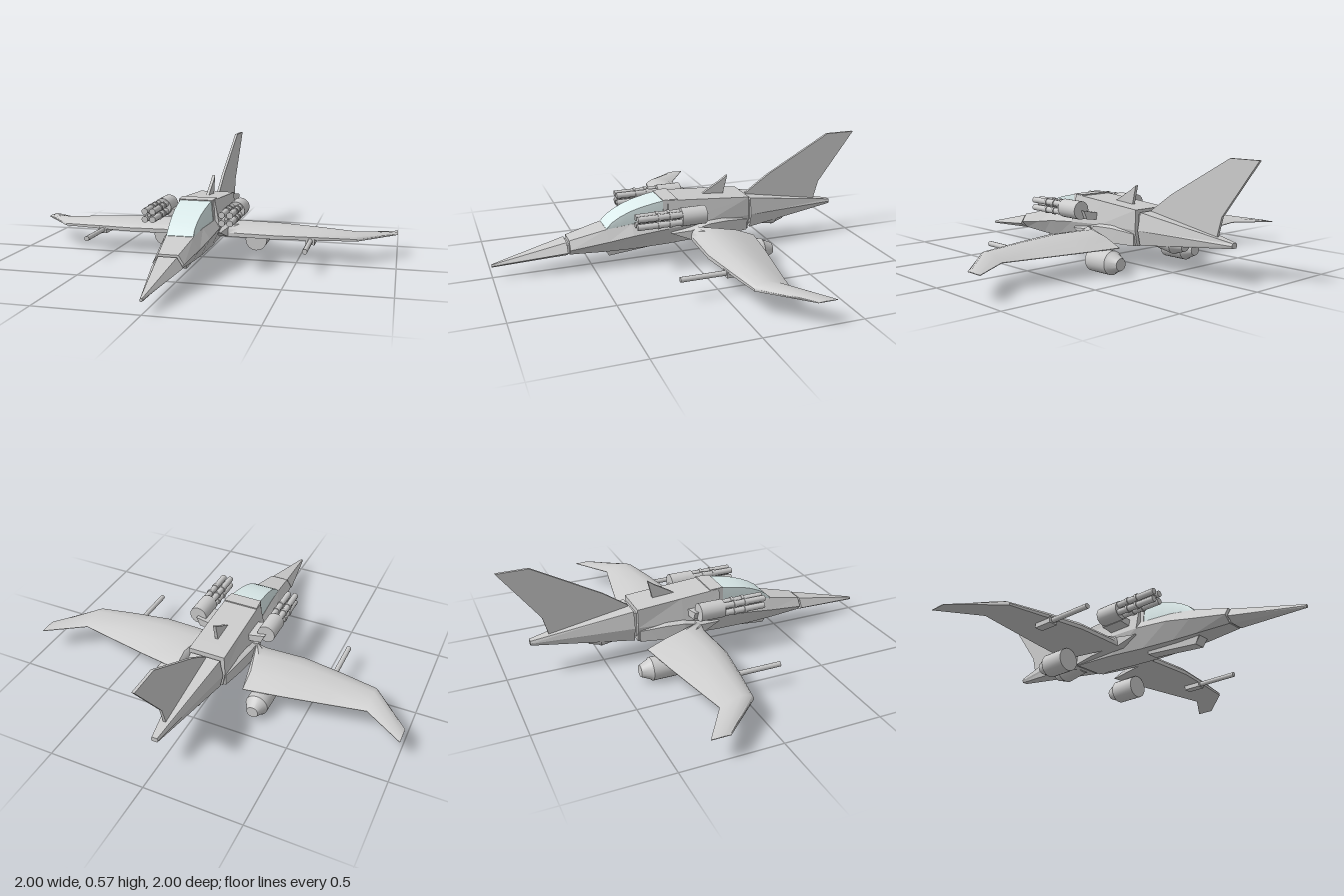
import * as THREE from 'three';
import { toCreasedNormals } from 'three/addons/utils/BufferGeometryUtils.js';

const grey = new THREE.MeshStandardMaterial({ color: 0xcccccc });
const glass = new THREE.MeshStandardMaterial({ color: 0xdcecec });

// Skin a list of equal-length rings of [x, y, z], cap both ends, faces outward
function loft(rings, crease = 0.3) {
  const tris = [];
  const n = rings[0].length;
  for (let i = 0; i < rings.length - 1; i++) {
    for (let j = 0; j < n; j++) {
      const k = (j + 1) % n;
      const a = rings[i][j], b = rings[i][k], c = rings[i + 1][k], d = rings[i + 1][j];
      tris.push([a, b, c], [a, c, d]);
    }
  }
  const cap = (ring, flip) => {
    const mid = [0, 1, 2].map(q => ring.reduce((s, p) => s + p[q], 0) / n);
    ring.forEach((p, j) => {
      const r = ring[(j + 1) % n];
      tris.push(flip ? [mid, r, p] : [mid, p, r]);
    });
  };
  cap(rings[0], true);
  cap(rings[rings.length - 1], false);
  // A negative signed volume means the faces point inward
  const vol = tris.reduce((s, [a, b, c]) => s
    + a[0] * (b[1] * c[2] - b[2] * c[1])
    + a[1] * (b[2] * c[0] - b[0] * c[2])
    + a[2] * (b[0] * c[1] - b[1] * c[0]), 0);
  if (vol < 0) tris.forEach(t => t.reverse());
  const geo = new THREE.BufferGeometry();
  geo.setAttribute('position', new THREE.Float32BufferAttribute(tris.flat(2), 3));
  return toCreasedNormals(geo, crease);
}

// Mirrored cross-section at z from [halfWidth, y] points, bottom to top
const section = (z, ...half) => [
  ...half.map(([x, y]) => [x, y, z]),
  ...half.slice().reverse().map(([x, y]) => [-x, y, z]),
];

// Thin upright plate on the centre line from a [z, y] outline
function plate(points, thickness) {
  const shape = new THREE.Shape(points.map(p => new THREE.Vector2(...p)));
  return new THREE.ExtrudeGeometry(shape, { depth: thickness, bevelEnabled: false })
    .translate(0, 0, -thickness / 2).rotateY(-Math.PI / 2);
}

const rod = (r, length, sides = 12) =>
  new THREE.CylinderGeometry(r, r, length, sides).rotateX(Math.PI / 2);

// Engine pod along z, tapering to the rear
function podGeometry() {
  const profile = [[0, -0.095], [0.03, -0.095], [0.05, -0.05], [0.059, -0.04], [0.059, 0.095], [0, 0.095]];
  const lathe = new THREE.LatheGeometry(profile.map(p => new THREE.Vector2(...p)), 24);
  return toCreasedNormals(lathe.rotateX(Math.PI / 2), 0.4);
}

// Wing with a flat underside, lofted outward from the root
function wingGeometry(side) {
  // x, leading z, trailing z, leading top y, crest y
  const stations = [
    [0.11, 0.0, -0.1, 0.162, 0.187], [0.14, 0.0, -0.1, 0.162, 0.187],
    [0.19, 0.003, -0.328, 0.162, 0.187], [0.4, 0.01, -0.295, 0.16, 0.187],
    [0.6, -0.018, -0.258, 0.153, 0.175], [0.8, -0.05, -0.22, 0.142, 0.16],
    [1.0, -0.26, -0.355, 0.123, 0.125],
  ];
  return loft(stations.map(([x, lead, trail, ly, cy]) => {
    const at = t => lead + (trail - lead) * t;
    const base = 0.121;
    return [[0, base], [0, (base + ly) / 2], [0.06, ly], [0.2, (ly + 2 * cy) / 3], [0.38, cy],
      [0.7, base + (cy - base) * 0.65], [1, base + 0.003], [1, base]]
      .map(([t, y]) => [side * x, y, at(t)]);
  }), 0.6);
}

// Rotary gun: housing, barrel cluster, clamp rings and strut to the body
function rotaryGun(add, side) {
  const gun = new THREE.Group();
  gun.name = side > 0 ? 'leftRotaryGun' : 'rightRotaryGun';
  gun.position.set(side * 0.195, 0.275, 0);
  add('gunHousing', rod(0.047, 0.13, 20), [0, 0, 0.015], gun);
  add('gunSpindle', rod(0.009, 0.22, 8), [0, 0, 0.19], gun);
  for (const sx of [-1, 1]) for (const sy of [-1, 1]) {
    add('gunBarrel', rod(0.016, 0.24), [sx * 0.02, sy * 0.02, 0.19], gun);
    for (const z of [0.14, 0.2]) add('barrelBand', rod(0.02, 0.014), [sx * 0.02, sy * 0.02, z], gun);
  }
  const strut = [0.055, -0.07].map(z => [[-0.1, -0.055], [-0.02, -0.045], [0.0, 0], [-0.1, -0.02]]
    .map(([x, y]) => [side * x, y, z]));
  add('gunStrut', loft(strut), [0, 0, 0], gun);
  return gun;
}

export function createModel() {
  const model = new THREE.Group();
  const add = (name, geometry, pos = [0, 0, 0], parent = model, material = grey) => {
    const mesh = new THREE.Mesh(geometry, material);
    mesh.name = name;
    mesh.position.set(...pos);
    parent.add(mesh);
    return mesh;
  };

  // Nose cone and faceted fuselage, joined by recessed collars
  add('nose', loft([
    section(0.63, [0.035, 0.085], [0.075, 0.11], [0.045, 0.157]),
    section(1.0, [0.004, 0.06], [0.007, 0.066], [0.004, 0.074]),
  ], 0.05));
  add('noseCollar', new THREE.BoxGeometry(0.09, 0.05, 0.04), [0, 0.118, 0.625]);
  add('fuselage', loft([
    section(0.618, [0.04, 0.088], [0.075, 0.122], [0.048, 0.165]),
    section(0.43, [0.06, 0.085], [0.1, 0.15], [0.068, 0.208]),
    section(0.3, [0.07, 0.085], [0.116, 0.172], [0.08, 0.225]),
    section(0.115, [0.08, 0.092], [0.122, 0.19], [0.095, 0.23]),
    section(0.11, [0.08, 0.092], [0.122, 0.19], [0.093, 0.333]),
    section(-0.1, [0.09, 0.107], [0.115, 0.2], [0.095, 0.318]),
    section(-0.34, [0.085, 0.12], [0.1, 0.2], [0.096, 0.3]),
  ], 0.05));
  add('bellyKeel', loft([
    section(0.44, [0.03, 0.09], [0.035, 0.098]),
    section(0.41, [0.03, 0.048], [0.035, 0.098]),
    section(0.11, [0.03, 0.077], [0.035, 0.11]),
  ], 0.05));

  // Curved canopy with its rear frame
  const canopy = [[0.43, 0.068, 0.066, 0.21], [0.4, 0.071, 0.066, 0.24], [0.36, 0.075, 0.068, 0.265],
    [0.31, 0.08, 0.071, 0.288], [0.25, 0.085, 0.075, 0.307], [0.18, 0.09, 0.079, 0.322], [0.13, 0.093, 0.082, 0.33]];
  add('canopy', loft(canopy.map(([z, low, high, y]) =>
    section(z, [low - 0.003, 0.195], [low, 0.207], [high, y])), 0.45), [0, 0, 0], model, glass);
  add('canopyFrame', loft([
    section(0.135, [0.096, 0.2], [0.085, 0.334]),
    section(0.06, [0.098, 0.2], [0.094, 0.336]),
  ]));

  // Tail boom, tail fin and dorsal blade
  add('tailCollar', new THREE.BoxGeometry(0.15, 0.13, 0.04), [0, 0.21, -0.345]);
  add('tailBoom', loft([
    section(-0.355, [0.08, 0.125], [0.097, 0.2], [0.08, 0.288]),
    section(-0.87, [0.014, 0.176], [0.019, 0.188], [0.014, 0.2]),
  ], 0.05));
  add('tailFin', plate([[-0.36, 0.27], [-0.77, 0.2], [-0.8, 0.31], [-1, 0.578], [-0.84, 0.578],
    [-0.49, 0.383], [-0.36, 0.293]], 0.014));
  add('dorsalBlade', plate([[-0.11, 0.3], [-0.225, 0.3], [-0.25, 0.405], [-0.215, 0.38], [-0.11, 0.318]], 0.016));

  // Engine pods: one under each wing and one under the tail
  add('rightEnginePod', podGeometry(), [-0.275, 0.062, -0.305]);
  add('leftEnginePod', podGeometry(), [0.25, 0.062, -0.305]);
  const tailPod = add('tailEnginePod', podGeometry(), [0, 0.162, -0.487]);
  tailPod.rotation.x = -0.17;

  for (const side of [-1, 1]) {
    const label = side > 0 ? 'left' : 'right';
    add(label + 'Wing', wingGeometry(side));
    // Fairing that blends the wing into the body
    add(label + 'WingRoot', loft([
      [0.1, 0.12, 0.16, 0.175], [0.0, 0.138, 0.121, 0.185],
      [-0.1, 0.141, 0.121, 0.21], [-0.2, 0.128, 0.121, 0.21], [-0.33, 0.1, 0.121, 0.18],
    ].map(([z, x, low, high]) => [[0.05, low], [x, low], [x, high - 0.015], [0.1, high], [0.05, high]]
      .map(([px, y]) => [side * px, y, z])), 0.1));
    // Wing cannon on its mount
    add(label + 'WingCannon', rod(0.013, 0.23), [side * 0.567, 0.116, 0.1]);
    add(label + 'CannonMount', new THREE.BoxGeometry(0.046, 0.03, 0.1), [side * 0.567, 0.113, -0.06]);
    model.add(rotaryGun(add, side));
  }
  return model;
}
